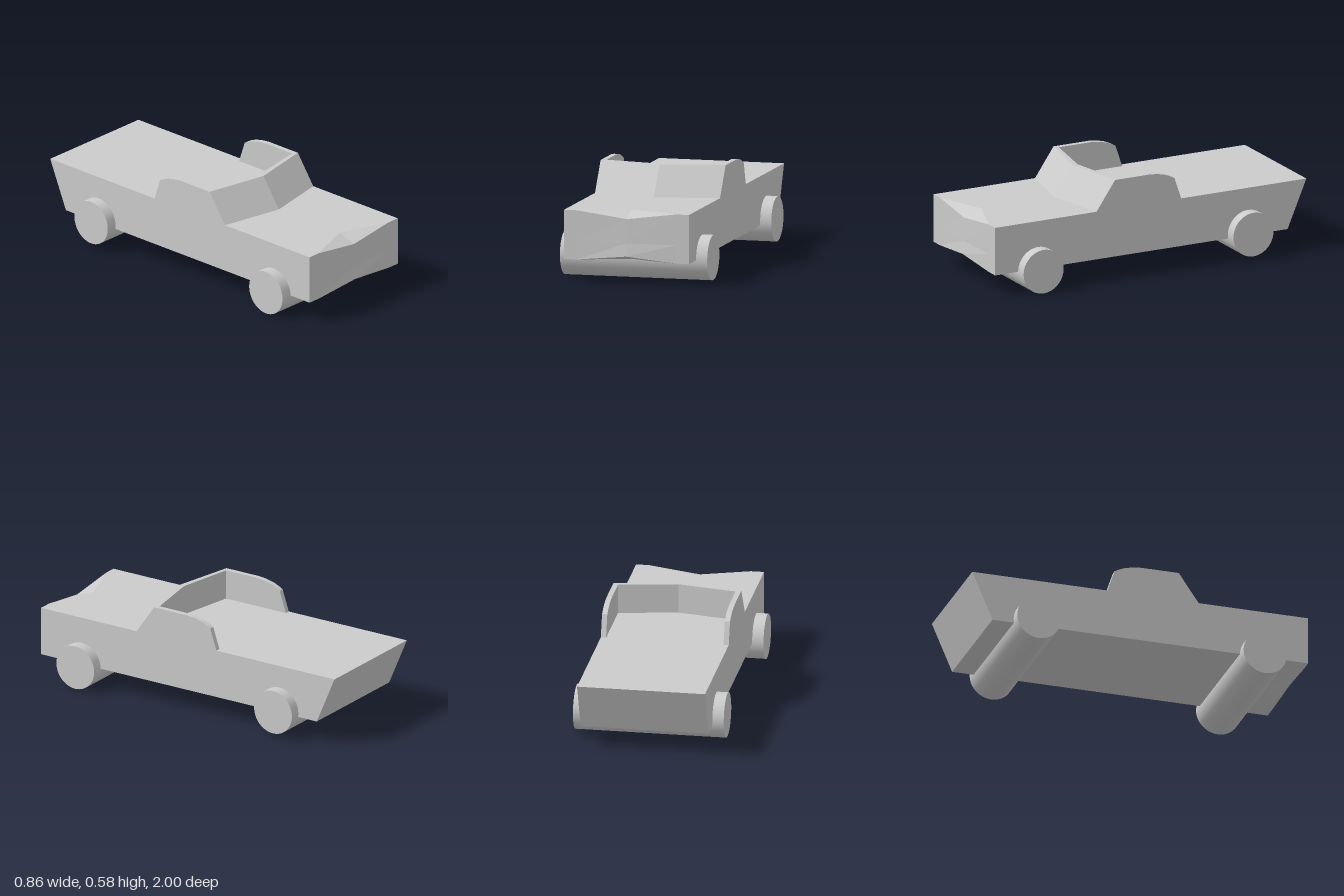
import * as THREE from 'three';

const material = new THREE.MeshStandardMaterial({ color: 0xcccccc, flatShading: true });
const smoothMaterial = new THREE.MeshStandardMaterial({ color: 0xcccccc });

// Closed solid through side profiles ([z, y], counter-clockwise with z right) set at increasing x
function loft(name, xs, profile) {
  const rings = xs.map((x) => profile(x).map(([z, y]) => new THREE.Vector3(x, y, z)));
  const n = rings[0].length;
  const points = [];
  for (let i = 0; i < rings.length - 1; i++) {
    for (let j = 0; j < n; j++) {
      const k = (j + 1) % n;
      const a = rings[i][j], b = rings[i][k], c = rings[i + 1][k], d = rings[i + 1][j];
      points.push(a, d, c, a, c, b);
    }
  }
  const last = rings[rings.length - 1];
  const outline = rings[0].map((p) => new THREE.Vector2(p.z, p.y));
  for (const [a, b, c] of THREE.ShapeUtils.triangulateShape(outline, [])) {
    points.push(rings[0][a], rings[0][b], rings[0][c], last[a], last[c], last[b]);
  }
  const geometry = new THREE.BufferGeometry().setFromPoints(points);
  geometry.computeVertexNormals();
  const mesh = new THREE.Mesh(geometry, material);
  mesh.name = name;
  return mesh;
}

const HALF = 0.365, SHOULDER = 0.29, WALL = 0.03;
const SILL = 0.13, DECK = 0.41, ROOF = 0.58;
const STATIONS = [-HALF, -SHOULDER, 0, SHOULDER, HALF];

export function createModel() {
  const car = new THREE.Group();
  car.name = 'pickup';

  // Body with raked tail and a nose that is notched at the middle, above and below
  car.add(loft('body', STATIONS, (x) => {
    const t = Math.max(0, 1 - Math.abs(x) / SHOULDER);
    const nose = 0.988;
    return [
      [-1, DECK],
      [-0.88, SILL],
      [nose - 0.108 * t, SILL],
      [nose + 0.012 * t, SILL + 0.03 * t],
      [nose + 0.004 * t, 0.235],
      [nose + 0.002 * t, DECK - 0.038 * t],
      [nose - 0.108 * t, DECK],
    ];
  }));

  // Swept-back windscreen with a raked outside and an upright inside
  car.add(loft('windscreen', STATIONS, (x) => {
    const sweep = 0.205 * Math.abs(x);
    const inner = 0.265 - 0.18 * Math.abs(x);
    return [
      [inner, DECK],
      [0.415 - sweep, DECK],
      [0.297 - sweep, ROOF],
      [inner, ROOF],
    ];
  }));

  // Cab side walls with rounded rear shoulders
  const cabSide = [
    [-0.2, DECK], [0.21, DECK], [0.21, ROOF], [0, ROOF],
    [-0.05, 0.575], [-0.1, 0.563], [-0.14, 0.546], [-0.158, 0.535],
  ];
  car.add(loft('rightCabSide', [-HALF, WALL - HALF], () => cabSide));
  car.add(loft('leftCabSide', [HALF - WALL, HALF], () => cabSide));

  // Full-width wheel rollers
  const roller = new THREE.CylinderGeometry(0.128, 0.128, 0.86, 48).rotateZ(Math.PI / 2);
  for (const [name, y, z] of [['frontWheels', 0.13, 0.713], ['rearWheels', 0.152, -0.627]]) {
    const wheels = new THREE.Mesh(roller, smoothMaterial);
    wheels.name = name;
    wheels.position.set(0, y, z);
    car.add(wheels);
  }

  return car;
}
